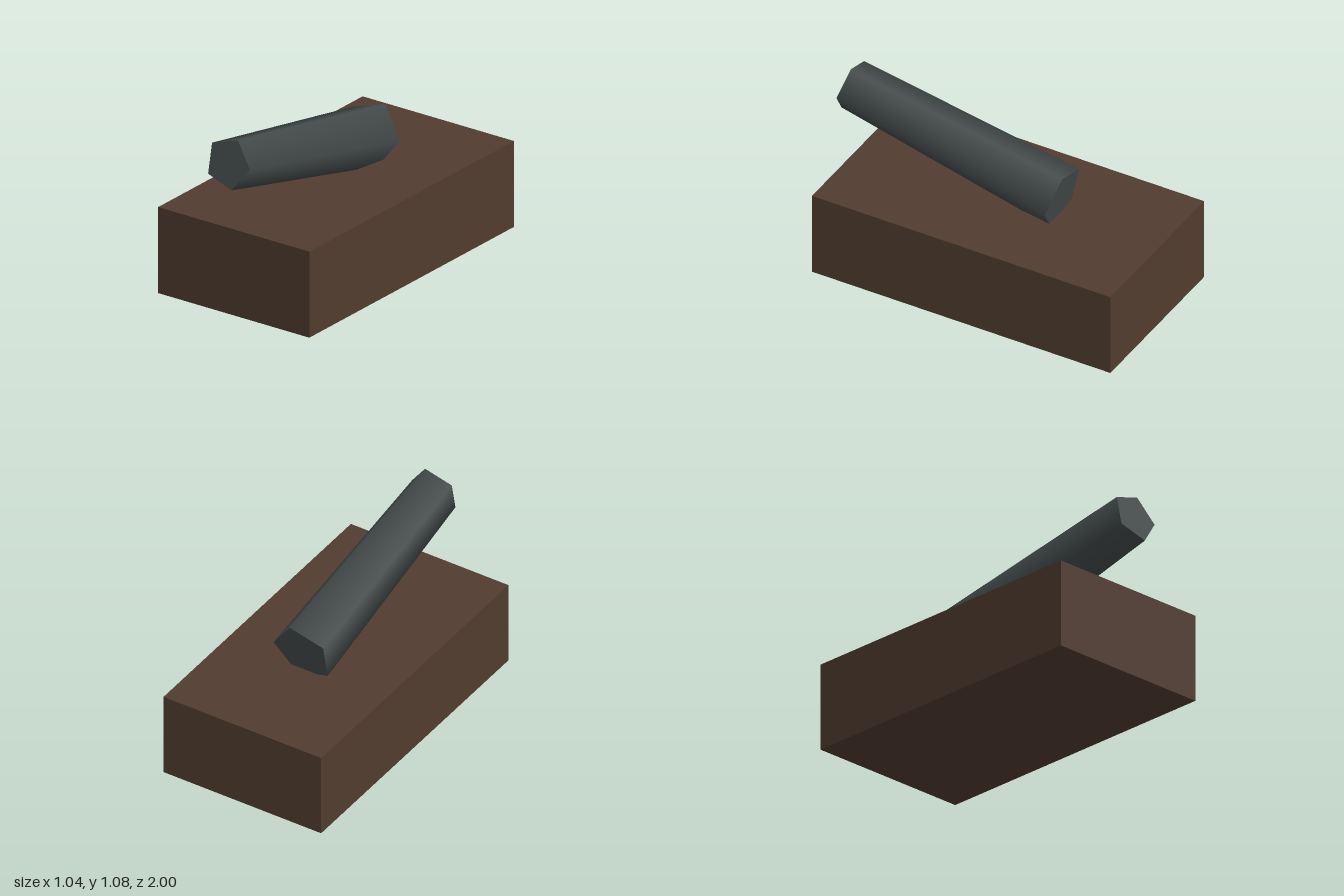
import * as THREE from 'three';

export function createModel() {
  const group = new THREE.Group();
  const brown = new THREE.MeshStandardMaterial({ color: 0x513c2f });
  brown.name = 'brown';
  const darkGrey = new THREE.MeshStandardMaterial({ color: 0x424949 });
  darkGrey.name = 'dark grey';

  // Solid rectangular base, longer towards the back
  const base = new THREE.Mesh(new THREE.BoxGeometry(1.045, 0.522, 1.915), brown);
  base.name = 'base';
  base.position.set(0, 0.261, -0.0425);
  group.add(base);

  // Five-sided tapered barrel, smooth sides, muzzle raised by 12 degrees
  const front = new THREE.Vector3(0, 0.9415, 0.97);
  const back = new THREE.Vector3(0, 0.653, -0.387);
  const axis = front.clone().sub(back);
  const barrel = new THREE.Mesh(
    new THREE.CylinderGeometry(0.152, 0.19, axis.length(), 5, 1, false, Math.PI / 2),
    darkGrey
  );
  barrel.name = 'barrel';
  barrel.position.copy(front).add(back).multiplyScalar(0.5);
  barrel.rotation.x = Math.atan2(axis.z, axis.y);
  group.add(barrel);

  return group;
}
